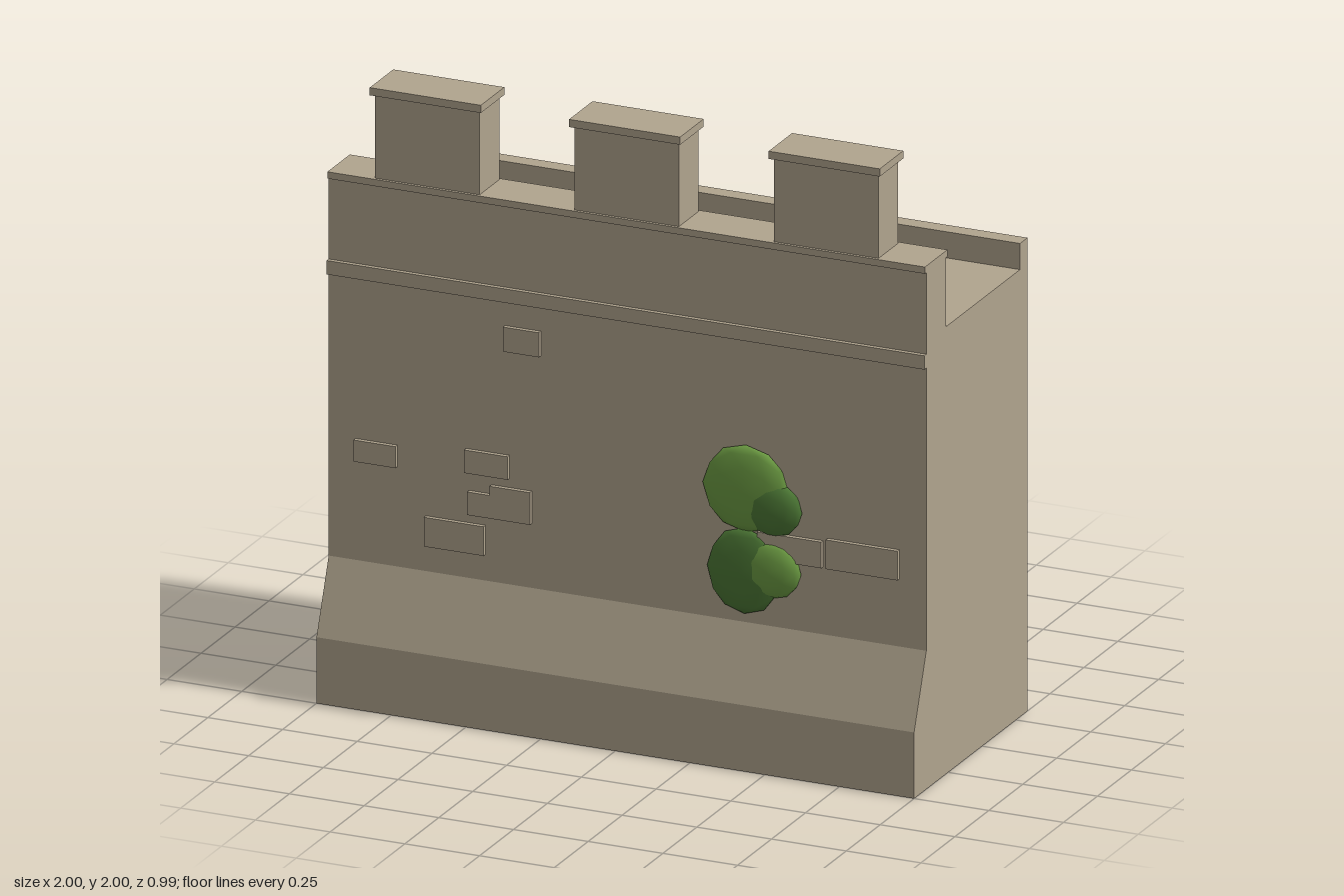
import * as THREE from 'three';

export function createModel() {
  const model = new THREE.Group();
  const material = (name, color, side = THREE.FrontSide) => {
    const m = new THREE.MeshStandardMaterial({ color, side });
    m.name = name;
    return m;
  };
  const stone = material('sandstone', 0xb0a48e, THREE.DoubleSide);
  const iron = material('blackIron', 0x2c2c32);
  const leafLight = material('lightLeaf', 0x6b9a42);
  const leafDark = material('darkLeaf', 0x4b7634);

  const add = (name, geometry, mat) => {
    const mesh = new THREE.Mesh(geometry, mat);
    mesh.name = name;
    model.add(mesh);
    return mesh;
  };
  // Box given by its lower and upper limits on each axis
  const block = (name, x0, x1, y0, y1, z0, z1, mat = stone) =>
    add(name, new THREE.BoxGeometry(x1 - x0, y1 - y0, z1 - z0), mat)
      .position.set((x0 + x1) / 2, (y0 + y1) / 2, (z0 + z1) / 2);
  const toShape = (points) => new THREE.Shape(points.map(([z, y]) => new THREE.Vector2(z, y)));

  // Wall shell: a (z, y) profile swept along x, left open underneath
  const profile = [
    [0.41, 0.45], [0.41, 1.7], [0.265, 1.7], [0.265, 1.45],
    [-0.28, 1.45], [-0.28, 1.54], [-0.335, 1.54], [-0.335, 0],
  ];
  const corners = [];
  for (let i = 0; i < profile.length - 1; i++) {
    const [za, ya] = profile[i];
    const [zb, yb] = profile[i + 1];
    corners.push(-1, ya, za, 1, ya, za, 1, yb, zb, -1, ya, za, 1, yb, zb, -1, yb, zb);
  }
  const shell = new THREE.BufferGeometry();
  shell.setAttribute('position', new THREE.Float32BufferAttribute(corners, 3));
  shell.computeVertexNormals();
  add('wallShell', shell, stone);

  // Wall ends
  for (const side of [-1, 1]) {
    const end = new THREE.ShapeGeometry(toShape([[0.41, 0], ...profile]));
    const mesh = add(side > 0 ? 'leftEnd' : 'rightEnd', end, stone);
    if (side > 0) {
      // mirrored so the face points outward
      end.scale(-1, 1, 1);
      const index = end.index;
      for (let i = 0; i < index.count; i += 3) {
        const a = index.getX(i);
        index.setX(i, index.getX(i + 2));
        index.setX(i + 2, a);
      }
      mesh.rotation.y = Math.PI / 2;
    } else {
      mesh.rotation.y = -Math.PI / 2;
    }
    mesh.position.x = side;
  }

  // Sloped base along the front
  const base = new THREE.ExtrudeGeometry(
    toShape([[0.41, 0], [0.5, 0], [0.5, 0.215], [0.41, 0.45]]),
    { depth: 2, bevelEnabled: false },
  );
  base.translate(0, 0, -1).rotateY(-Math.PI / 2);
  add('slopedBase', base, stone);

  // Horizontal bands and walkway slabs
  block('parapetCoping', -1, 1, 1.68, 1.702, 0.255, 0.42);
  block('stringCourse', -1, 1, 1.37, 1.415, 0.4, 0.425);
  [[-1, -0.195], [-0.185, 0.615], [0.625, 1]].forEach(([a, b]) =>
    block('walkwaySlab', a, b, 1.448, 1.455, -0.28, 0.265));

  // Battlements with caps
  for (const x of [-0.67, -0.003, 0.665]) {
    block('merlon', x - 0.175, x + 0.175, 1.7, 1.98, 0.265, 0.41);
    block('merlonCap', x - 0.186, x + 0.186, 1.975, 2, 0.252, 0.425);
  }

  // Raised stones: x0, x1, y0, y1
  [
    [-0.91, -0.77, 0.775, 0.845], [-0.54, -0.395, 0.795, 0.87],
    [-0.53, -0.44, 0.66, 0.735], [-0.455, -0.32, 0.66, 0.765],
    [-0.675, -0.475, 0.535, 0.63], [-0.41, -0.29, 1.21, 1.29],
    [0.44, 0.655, 0.67, 0.755], [0.67, 0.91, 0.67, 0.765],
  ].forEach((s) => block('frontStone', ...s, 0.4, 0.425));
  [
    [0.35, 0.57, 1.21, 1.28], [0.35, 0.55, 0.98, 1.065],
    [-0.17, -0.03, 1.055, 1.14], [-0.53, -0.3, 0.885, 0.955],
    [0.15, 0.335, 0.33, 0.43],
  ].forEach((s) => block('backStone', ...s, -0.352, -0.33));

  // Flattened ivy clumps
  [
    [0.4, 0.888, 0.145, 0.142, 0.03, leafLight],
    [0.49, 0.835, 0.098, 0.09, 0.034, leafDark],
    [0.395, 0.62, 0.125, 0.14, 0.03, leafDark],
    [0.485, 0.635, 0.1, 0.092, 0.034, leafLight],
  ].forEach(([x, y, rx, ry, rz, mat]) => {
    const clump = add('ivyClump', new THREE.IcosahedronGeometry(1, 1), mat);
    clump.position.set(x, y, 0.418);
    clump.scale.set(rx, ry, rz);
  });

  // Lantern on a bracket behind the wall
  block('lanternArm', -0.012, 0.012, 1.058, 1.073, -0.465, -0.335, iron);
  const lanternPart = (name, top, bottom, y0, y1) => {
    const geometry = new THREE.CylinderGeometry(top, bottom, y1 - y0, 6).toNonIndexed();
    geometry.rotateY(Math.PI / 6);
    geometry.computeVertexNormals();
    add(name, geometry, iron).position.set(0, (y0 + y1) / 2, -0.455);
  };
  lanternPart('lanternBody', 0.045, 0.045, 0.95, 1.035);
  lanternPart('lanternRoof', 0.014, 0.045, 1.035, 1.073);

  return model;
}
